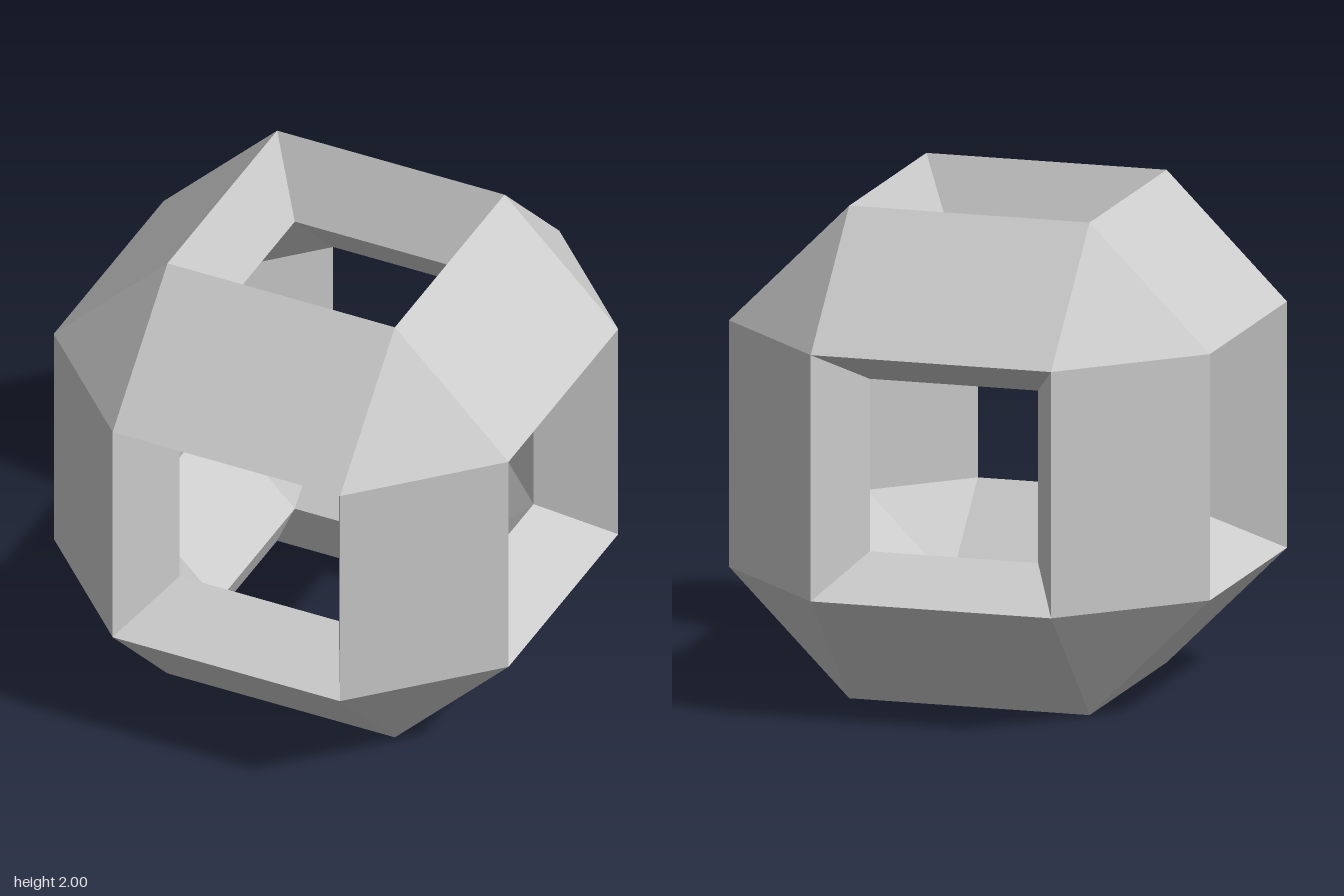
import * as THREE from 'three';

const INNER = 0.7; // hollow inside is the outer shape scaled by this
const SIGNS = [-1, 1];

// Point given along axis a and the two axes that follow it cyclically
function point(a, u, v, w) {
  const p = new THREE.Vector3();
  p.setComponent(a, u);
  p.setComponent((a + 1) % 3, v);
  p.setComponent((a + 2) % 3, w);
  return p;
}

// Add a convex polygon, wound so that it faces the given direction
function addFace(out, corners, facing) {
  const [a, b, c] = corners;
  const normal = b.clone().sub(a).cross(c.clone().sub(a));
  const loop = normal.dot(facing) < 0 ? [...corners].reverse() : corners;
  for (let i = 1; i < loop.length - 1; i++) {
    for (const p of [loop[0], loop[i], loop[i + 1]]) out.push(p.x, p.y + 1, p.z);
  }
}

// Outer plate and its matching plate on the hollow inside
function addPlate(out, corners) {
  const centre = corners.reduce((s, p) => s.add(p), new THREE.Vector3());
  addFace(out, corners, centre);
  addFace(out, corners.map(p => p.clone().multiplyScalar(INNER)), centre.clone().negate());
}

function makeMesh(name, positions, material) {
  const geometry = new THREE.BufferGeometry();
  geometry.setAttribute('position', new THREE.Float32BufferAttribute(positions, 3));
  geometry.computeVertexNormals();
  const mesh = new THREE.Mesh(geometry, material);
  mesh.name = name;
  return mesh;
}

export function createModel() {
  const group = new THREE.Group();
  group.name = 'openFrameSolid';
  const material = new THREE.MeshStandardMaterial({ color: 0xcccccc, flatShading: true });
  const bars = [], corners = [], windows = [];

  for (let axis = 0; axis < 3; axis++) {
    // Four slanted bars running along each axis
    for (const s of SIGNS) for (const t of SIGNS) {
      addPlate(bars, [
        point(axis, -0.5, s, t * 0.5), point(axis, 0.5, s, t * 0.5),
        point(axis, 0.5, s * 0.5, t), point(axis, -0.5, s * 0.5, t),
      ]);
    }
    // Tapered walls of the two square windows on each axis
    for (const s of SIGNS) {
      const square = [[-1, -1], [1, -1], [1, 1], [-1, 1]].map(([v, w]) => point(axis, s, v * 0.5, w * 0.5));
      square.forEach((p, i) => {
        const q = square[(i + 1) % 4];
        const facing = p.clone().add(q).negate().setComponent(axis, 0);
        addFace(windows, [p, q, q.clone().multiplyScalar(INNER), p.clone().multiplyScalar(INNER)], facing);
      });
    }
  }

  // Triangular corners joining three bars
  for (const x of SIGNS) for (const y of SIGNS) for (const z of SIGNS) {
    const sign = new THREE.Vector3(x, y, z);
    addPlate(corners, [0, 1, 2].map(a => point(a, 1, 0.5, 0.5).multiply(sign)));
  }

  group.add(
    makeMesh('edgeBars', bars, material),
    makeMesh('cornerTriangles', corners, material),
    makeMesh('windowWalls', windows, material),
  );
  return group;
}
